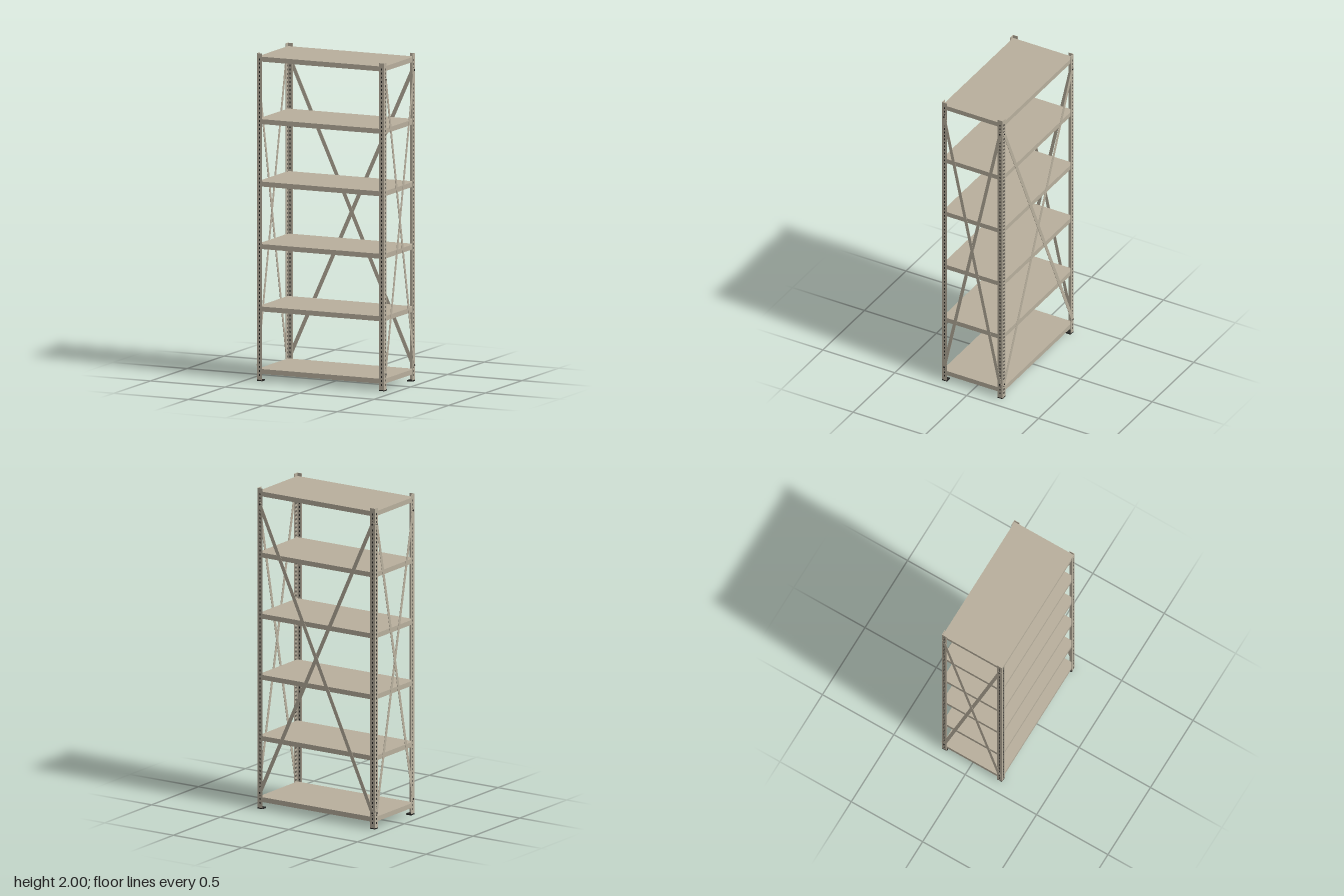
import * as THREE from 'three';
import { mergeGeometries } from 'three/addons/utils/BufferGeometryUtils.js';

const HX = 0.427, HZ = 0.211, ZC = 0.0035; // frame half width, half depth, depth centre
const T = 0.003, LEG = 0.034;              // sheet thickness, post leg width
const PIN = LEG / 2;                       // hole line, measured from the outer corner

function box(w, h, d, x, y, z) {
  return new THREE.BoxGeometry(w, h, d).translate(x, y, z);
}

export function createModel() {
  const paint = new THREE.MeshStandardMaterial({ color: 0xb8af9d });
  paint.name = 'beigePaint';
  const dark = new THREE.MeshStandardMaterial({ color: 0x262624 });
  dark.name = 'darkPlastic';

  const model = new THREE.Group();
  model.name = 'shelvingRack';
  const frame = new THREE.Group();
  frame.name = 'frame';
  frame.position.z = ZC;
  model.add(frame);

  const add = (name, parts, material) => {
    const mesh = new THREE.Mesh(mergeGeometries(parts), material);
    mesh.name = name;
    frame.add(mesh);
    return mesh;
  };

  // Angle posts with perforations and feet at the four corners
  for (const sx of [-1, 1]) for (const sz of [-1, 1]) {
    const side = (sz > 0 ? 'front' : 'back') + (sx > 0 ? 'Left' : 'Right');
    add(side + 'Post', [
      box(LEG, 1.994, T, sx * (HX - LEG / 2), 1.003, sz * (HZ - T / 2)),
      box(T, 1.994, LEG - T, sx * (HX - T / 2), 1.003, sz * (HZ - T - (LEG - T) / 2)),
    ], paint);

    const holes = [];
    for (let i = 0; i < 78; i++) {
      const y = 0.0375 + i * 0.025;
      holes.push(
        box(0.007, 0.012, T + 0.001, sx * (HX - PIN), y, sz * (HZ - T / 2)),
        box(T + 0.001, 0.012, 0.007, sx * (HX - T / 2), y, sz * (HZ - PIN)),
      );
    }
    add(side + 'PostHoles', holes, dark);
    add(side + 'Foot', [box(0.036, 0.008, 0.036, sx * (HX - 0.018), 0.004, sz * (HZ - 0.018))], dark);
  }

  // Folded tray shelves: deck, four flanges and narrow return lips
  const SX = HX - T, SZ = HZ - T, H = 0.03, LIP = 0.008;
  for (let i = 0; i < 6; i++) {
    const top = 0.074 + i * 0.3812;
    const parts = [box(SX * 2, T, SZ * 2, 0, top - T / 2, 0)];
    for (const s of [-1, 1]) {
      parts.push(
        box(SX * 2, H - T, T, 0, top - (H + T) / 2, s * (SZ - T / 2)),
        box(T, H - T, SZ * 2 - 2 * T, s * (SX - T / 2), top - (H + T) / 2, 0),
        box(SX * 2 - 2 * T, T, LIP, 0, top - H + T / 2, s * (SZ - T - LIP / 2)),
        box(LIP, T, SZ * 2 - 2 * T - 2 * LIP, s * (SX - T - LIP / 2), top - H + T / 2, 0),
      );
    }
    add('shelf' + (i + 1), parts, paint);
  }

  // Crossed flat braces, drawn in the xy plane and lying on z = 0 upwards
  const Y0 = 0.1, Y1 = 1.9;
  function crossBrace(name, halfSpan, width) {
    const group = new THREE.Group();
    group.name = name;
    const angle = Math.atan2(2 * halfSpan, Y1 - Y0);
    const length = Math.hypot(2 * halfSpan, Y1 - Y0) + width;
    [-1, 1].forEach((s, layer) => {
      const bar = new THREE.Mesh(new THREE.BoxGeometry(width, length, 0.002), paint);
      bar.name = 'braceBar';
      bar.position.set(0, (Y0 + Y1) / 2, 0.001 + layer * 0.002);
      bar.rotation.z = s * angle;
      group.add(bar);
      // Bolt heads at the ends of each bar
      for (const y of [Y0, Y1]) {
        const bolt = new THREE.Mesh(new THREE.CylinderGeometry(0.006, 0.006, 0.005, 6), dark);
        bolt.name = 'bolt';
        bolt.rotation.x = Math.PI / 2;
        bolt.position.set(s * halfSpan, y, 0.0025);
        group.add(bolt);
      }
    });
    frame.add(group);
    return group;
  }

  const back = crossBrace('backBrace', HX - PIN, 0.024);
  back.rotation.y = Math.PI;
  back.position.z = -HZ;
  for (const s of [-1, 1]) {
    const side = crossBrace(s > 0 ? 'leftBrace' : 'rightBrace', HZ - PIN, 0.021);
    side.rotation.y = s * Math.PI / 2;
    side.position.x = s * HX;
  }
  return model;
}
